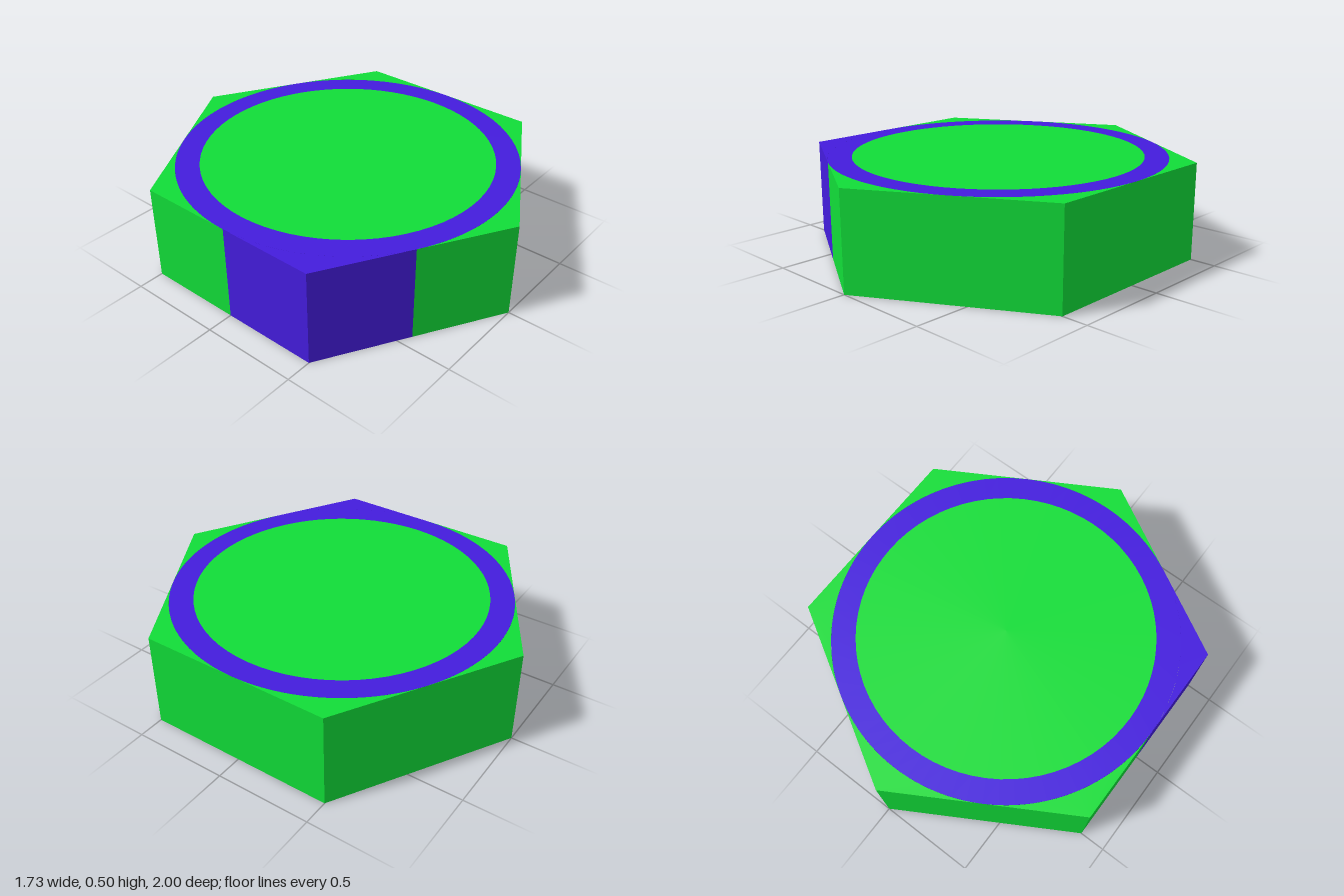
import * as THREE from 'three';

const HEIGHT = 0.5;
const OUTER = Math.sqrt(3) / 2; // circle touching the hexagon's sides
const INNER = 0.745;
const SEGMENTS = 72;

const paint = (color) => new THREE.MeshStandardMaterial({ color, side: THREE.DoubleSide, flatShading: true });

function addMesh(parent, name, geometry, material) {
  const mesh = new THREE.Mesh(geometry, material);
  mesh.name = name;
  parent.add(mesh);
  return mesh;
}

// Lays a flat shape face up at the top of the body
const layOnTop = (geometry) => geometry.rotateX(-Math.PI / 2).translate(0, HEIGHT, 0);

// One hexagon corner, pointing along +x: a curved triangle on top and two half walls
function makeCorner(material) {
  const corner = new THREE.Group();
  const tangent = Math.PI / 6;
  const shape = new THREE.Shape();
  shape.moveTo(OUTER * Math.cos(tangent), -OUTER * Math.sin(tangent));
  shape.lineTo(1, 0);
  shape.lineTo(OUTER * Math.cos(tangent), OUTER * Math.sin(tangent));
  shape.absarc(0, 0, OUTER, tangent, -tangent, true);
  addMesh(corner, 'cornerTop', layOnTop(new THREE.ShapeGeometry(shape, SEGMENTS / 6)), material);

  for (const side of [-1, 1]) {
    const wall = new THREE.PlaneGeometry(0.5, HEIGHT)
      .translate(-side * 0.25, HEIGHT / 2, OUTER)
      .rotateY(Math.PI / 2 + side * tangent);
    addMesh(corner, 'halfWall', wall, material);
  }
  return corner;
}

export function createModel() {
  const model = new THREE.Group();
  model.name = 'hexagonalCap';
  const green = paint(0x11dd38);
  const purple = paint(0x441cdd);

  // Top disc, rim ring and round skirt, open underneath
  addMesh(model, 'topDisc', layOnTop(new THREE.CircleGeometry(INNER, SEGMENTS)), green);
  addMesh(model, 'rimRing', layOnTop(new THREE.RingGeometry(INNER, OUTER, SEGMENTS)), purple);
  const skirt = new THREE.CylinderGeometry(OUTER, OUTER, HEIGHT, SEGMENTS, 1, true);
  addMesh(model, 'roundSkirt', skirt.translate(0, HEIGHT / 2, 0), purple);

  // Six corners, the one at the front right in purple
  for (let i = 0; i < 6; i++) {
    const corner = makeCorner(i === 3 ? purple : green);
    corner.name = i === 3 ? 'accentCorner' : 'corner';
    corner.rotation.y = Math.PI / 6 + (i * Math.PI) / 3;
    model.add(corner);
  }
  return model;
}
